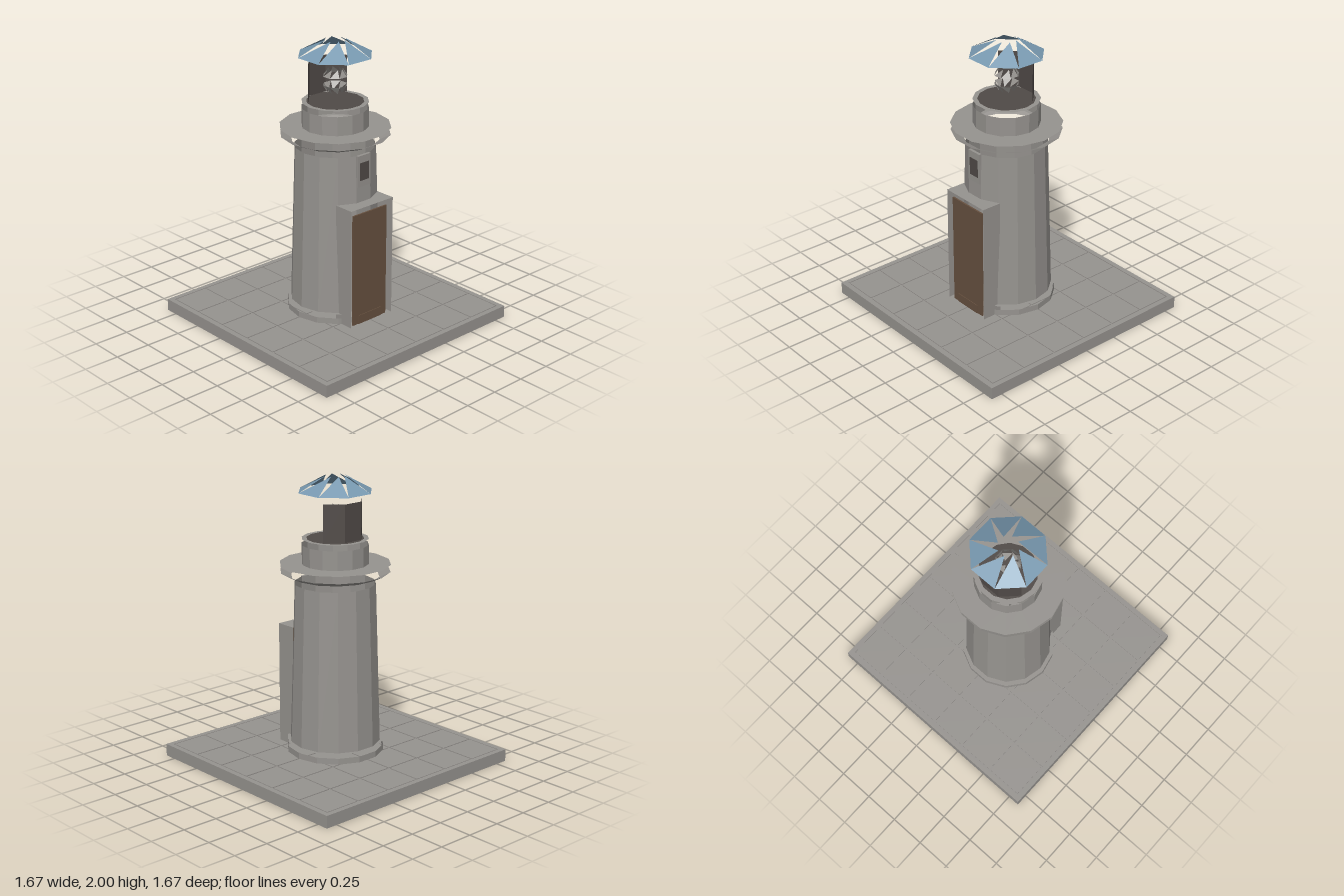
import * as THREE from 'three';

const SIDES = 14;

function material(name, color) {
  const m = new THREE.MeshStandardMaterial({ color, side: THREE.DoubleSide, flatShading: true });
  m.name = name;
  return m;
}

export function createModel() {
  const stone = material('grey stone', 0x96938f);
  const dark = material('dark iron', 0x504a47);
  const wood = material('brown wood', 0x66503f);
  const blue = material('blue roof', 0x7899b0);

  const model = new THREE.Group();
  model.name = 'lighthouse';

  function add(name, geometry, mat, x = 0, y = 0, z = 0, parent = model) {
    const mesh = new THREE.Mesh(geometry, mat);
    mesh.name = name;
    mesh.position.set(x, y, z);
    parent.add(mesh);
    return mesh;
  }

  // open faceted wall between two heights, flat side towards the front
  function wall(name, rBottom, rTop, y0, y1) {
    const g = new THREE.CylinderGeometry(rTop, rBottom, y1 - y0, SIDES, 1, true);
    g.rotateY(Math.PI / SIDES);
    return add(name, g, stone, 0, (y0 + y1) / 2, 0);
  }

  // flat horizontal ring
  function ledge(name, inner, outer, y) {
    const g = new THREE.RingGeometry(inner, outer, SIDES, 1);
    g.rotateX(-Math.PI / 2);
    return add(name, g, stone, 0, y, 0);
  }

  // eight separate triangles leaning inwards, with gaps between them
  function petals(name, rBase, rTip, yBase, yTip, mat) {
    const p = [];
    for (let i = 0; i < 8; i++) {
      const a = (i - 0.5) * Math.PI / 4, b = a + Math.PI / 4;
      p.push(rBase * Math.sin(a), yBase, rBase * Math.cos(a));
      p.push(rBase * Math.sin(b), yBase, rBase * Math.cos(b));
      p.push(rTip * Math.sin(b), yTip, rTip * Math.cos(b));
    }
    const g = new THREE.BufferGeometry();
    g.setAttribute('position', new THREE.Float32BufferAttribute(p, 3));
    g.computeVertexNormals();
    return add(name, g, mat);
  }

  // paved slab: core, raised border and six by six tiles
  const paving = new THREE.Group();
  paving.name = 'paving';
  model.add(paving);
  add('slab', new THREE.BoxGeometry(1.67, 0.079, 1.67), stone, 0, 0.0395, 0, paving);
  for (const s of [-1, 1]) {
    add('borderAcross', new THREE.BoxGeometry(1.67, 0.007, 0.036), stone, 0, 0.0815, s * 0.817, paving);
    add('borderAlong', new THREE.BoxGeometry(0.036, 0.007, 1.598), stone, s * 0.817, 0.0815, 0, paving);
  }
  const pitch = 0.266;
  for (let i = 0; i < 6; i++) {
    for (let j = 0; j < 6; j++) {
      add('tile', new THREE.BoxGeometry(0.254, 0.007, 0.254), stone,
        (i - 2.5) * pitch, 0.0815, (j - 2.5) * pitch, paving);
    }
  }

  // tower, from foot to lantern deck
  wall('plinth', 0.335, 0.335, 0.085, 0.127);
  ledge('plinthTop', 0.29, 0.335, 0.157);
  wall('tower', 0.312, 0.277, 0.157, 1.27);
  wall('galleryUnderside', 0.3, 0.375, 1.32, 1.355);
  ledge('galleryDeck', 0.2, 0.378, 1.405);
  wall('lanternBase', 0.2275, 0.2275, 1.405, 1.537);
  ledge('lanternBaseRim', 0.195, 0.2275, 1.577);
  const floor = new THREE.CircleGeometry(0.195, SIDES);
  floor.rotateX(-Math.PI / 2);
  add('lanternFloor', floor, dark, 0, 1.577, 0);

  // three back panels of the octagonal lantern room
  add('lanternBack', new THREE.CylinderGeometry(0.19, 0.19, 0.258, 3, 1, true,
    Math.PI * 0.625, Math.PI * 0.75), dark, 0, 1.711, 0);

  // spiky lamp lens and roof
  petals('lensTop', 0.085, 0.05, 1.75, 1.8, stone);
  petals('lensBottom', 0.085, 0.05, 1.69, 1.635, stone);
  petals('roof', 0.258, 0.068, 1.895, 2.0, blue);

  // doorway hood: two cheeks and a top, open at the front
  const doorway = new THREE.Group();
  doorway.name = 'doorway';
  model.add(doorway);
  const cheek = new THREE.PlaneGeometry(0.147, 0.855);
  cheek.rotateY(Math.PI / 2);
  for (const s of [-1, 1]) add('hoodCheek', cheek, stone, s * 0.19, 0.5125, 0.2915, doorway);
  const hoodTop = new THREE.PlaneGeometry(0.38, 0.147);
  hoodTop.rotateX(-Math.PI / 2);
  add('hoodTop', hoodTop, stone, 0, 0.94, 0.2915, doorway);
  add('door', new THREE.BoxGeometry(0.305, 0.805, 0.012), wood, -0.002, 0.4875, 0.342, doorway);
  add('kickPlate', new THREE.BoxGeometry(0.205, 0.063, 0.006), wood, -0.002, 0.1165, 0.35, doorway);

  // small window above the door
  add('windowFrame', new THREE.BoxGeometry(0.113, 0.22, 0.02), stone, 0, 1.16, 0.275);
  add('windowPane', new THREE.BoxGeometry(0.08, 0.125, 0.004), dark, 0, 1.157, 0.286);

  return model;
}
